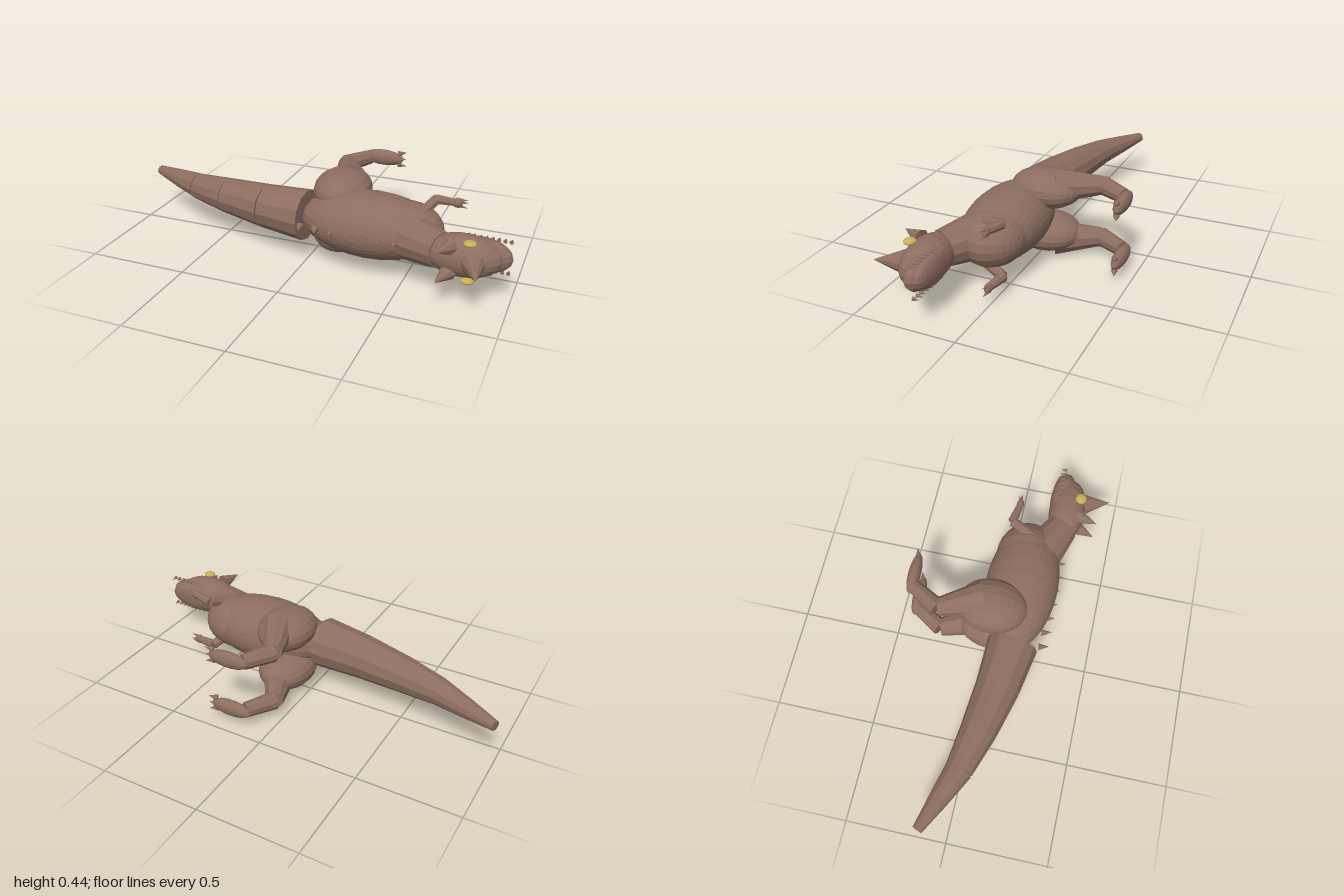
import * as THREE from 'three';

export function createModel() {
  const skin = new THREE.MeshStandardMaterial({ color: 0x8d6e60, flatShading: true });
  skin.name = 'brown skin';
  const amber = new THREE.MeshStandardMaterial({ color: 0xc8b055, flatShading: true });
  amber.name = 'amber eye';

  // The creature is built upright (x forward, y up, z sideways), then laid on its side.
  const body = new THREE.Group();
  body.name = 'creature';

  const add = (name, geometry, material = skin) => {
    const mesh = new THREE.Mesh(geometry, material);
    mesh.name = name;
    body.add(mesh);
    return mesh;
  };
  const ellipsoid = (name, pos, radii, material = skin, detail = 16) => {
    const geo = new THREE.SphereGeometry(1, detail, Math.round(detail * 0.75));
    const mesh = add(name, geo, material);
    mesh.position.set(...pos);
    mesh.scale.set(...radii);
    return mesh;
  };
  // Tapered round section from a to b; a zero end radius makes a spike.
  const limb = (name, a, b, ra, rb, sides = 10) => {
    const start = new THREE.Vector3(...a);
    const dir = new THREE.Vector3(...b).sub(start);
    const mesh = add(name, new THREE.CylinderGeometry(rb, ra, dir.length(), sides));
    mesh.position.copy(start).addScaledVector(dir, 0.5);
    mesh.quaternion.setFromUnitVectors(new THREE.Vector3(0, 1, 0), dir.normalize());
    return mesh;
  };

  // Torso
  ellipsoid('torso', [0.31, 0.095, 0], [0.35, 0.185, 0.158], skin, 24);
  ellipsoid('chest', [0.48, 0.085, 0], [0.18, 0.155, 0.135], skin, 20);

  // Tail: x, y, radius at each joint
  const tail = [
    [-0.01, 0.115, 0.127], [-0.24, 0.09, 0.11], [-0.475, 0.046, 0.09],
    [-0.675, -0.002, 0.068], [-0.84, -0.067, 0.047], [-0.988, -0.127, 0.025],
  ];
  for (let i = 0; i < tail.length - 1; i++) {
    const [x0, y0, r0] = tail[i], [x1, y1, r1] = tail[i + 1];
    limb('tailSegment', [x0, y0, 0], [x1, y1, 0], r0, r1, 12);
  }

  // Spines along the back
  for (let i = 0; i < 7; i++) {
    const x = 0.005 + i * 0.077;
    limb('backSpine', [x, 0.245, 0], [x + 0.012, 0.295, 0], 0.018, 0, 8);
  }

  // Neck and head
  limb('neck', [0.48, 0.14, 0], [0.68, 0.235, 0], 0.115, 0.085, 12);
  ellipsoid('head', [0.785, 0.243, 0], [0.175, 0.095, 0.1], skin, 18);
  ellipsoid('snout', [0.875, 0.212, 0], [0.122, 0.055, 0.08]);
  ellipsoid('jaw', [0.845, 0.182, 0], [0.14, 0.037, 0.075]);
  limb('noseHorn', [0.842, 0.315, 0], [0.882, 0.455, 0], 0.057, 0, 10);

  for (const s of [1, -1]) {
    // Face
    limb('browHorn', [0.733, 0.305, 0.062 * s], [0.7, 0.407, 0.073 * s], 0.04, 0, 8);
    ellipsoid('eye', [0.82, 0.303, 0.09 * s], [0.03, 0.028, 0.014], amber, 12);
    ellipsoid('nostril', [0.9, 0.25, 0.05 * s], [0.012, 0.01, 0.01], skin, 8);
    for (let i = 0; i < 8; i++) {
      const x = 0.79 + i * 0.027;
      limb('tooth', [x, 0.2, 0.077 * s], [x, 0.168, 0.077 * s], 0.01, 0, 6);
    }

    // Arm with clawed hand
    limb('upperArm', [0.54, 0.125, 0.088 * s], [0.592, -0.015, 0.132 * s], 0.029, 0.024, 8);
    limb('forearm', [0.592, -0.015, 0.13 * s], [0.69, 0.005, 0.137 * s], 0.024, 0.018, 8);
    ellipsoid('hand', [0.695, 0.005, 0.137 * s], [0.025, 0.018, 0.025], skin, 10);
    for (const f of [-1, 0, 1]) {
      limb('handClaw', [0.7, 0.003, (0.137 + f * 0.014) * s],
        [0.745, f === 0 ? -0.01 : 0.008, (0.137 + f * 0.02) * s], 0.011, 0, 6);
    }

    // Leg with clawed foot
    ellipsoid('thigh', [0.125, -0.018, 0.113 * s], [0.14, 0.175, 0.095], skin, 18);
    limb('shin', [0.145, -0.07, 0.137 * s], [0.05, -0.278, 0.137 * s], 0.085, 0.045, 10);
    limb('ankle', [0.05, -0.276, 0.137 * s], [0.13, -0.41, 0.137 * s], 0.045, 0.037, 10);
    ellipsoid('foot', [0.2, -0.428, 0.139 * s], [0.11, 0.031, 0.042], skin, 14);
    for (const f of [-1, 0, 1]) {
      limb('toeClaw', [0.28, -0.425, (0.139 + f * 0.03) * s],
        [0.322, -0.438, (0.139 + f * 0.038) * s], 0.016, 0, 6);
    }
  }

  // Lay the creature on its side
  body.rotation.x = Math.PI / 2;
  body.position.y = 0.228;
  const group = new THREE.Group();
  group.name = 'hornedReptile';
  group.add(body);
  return group;
}
